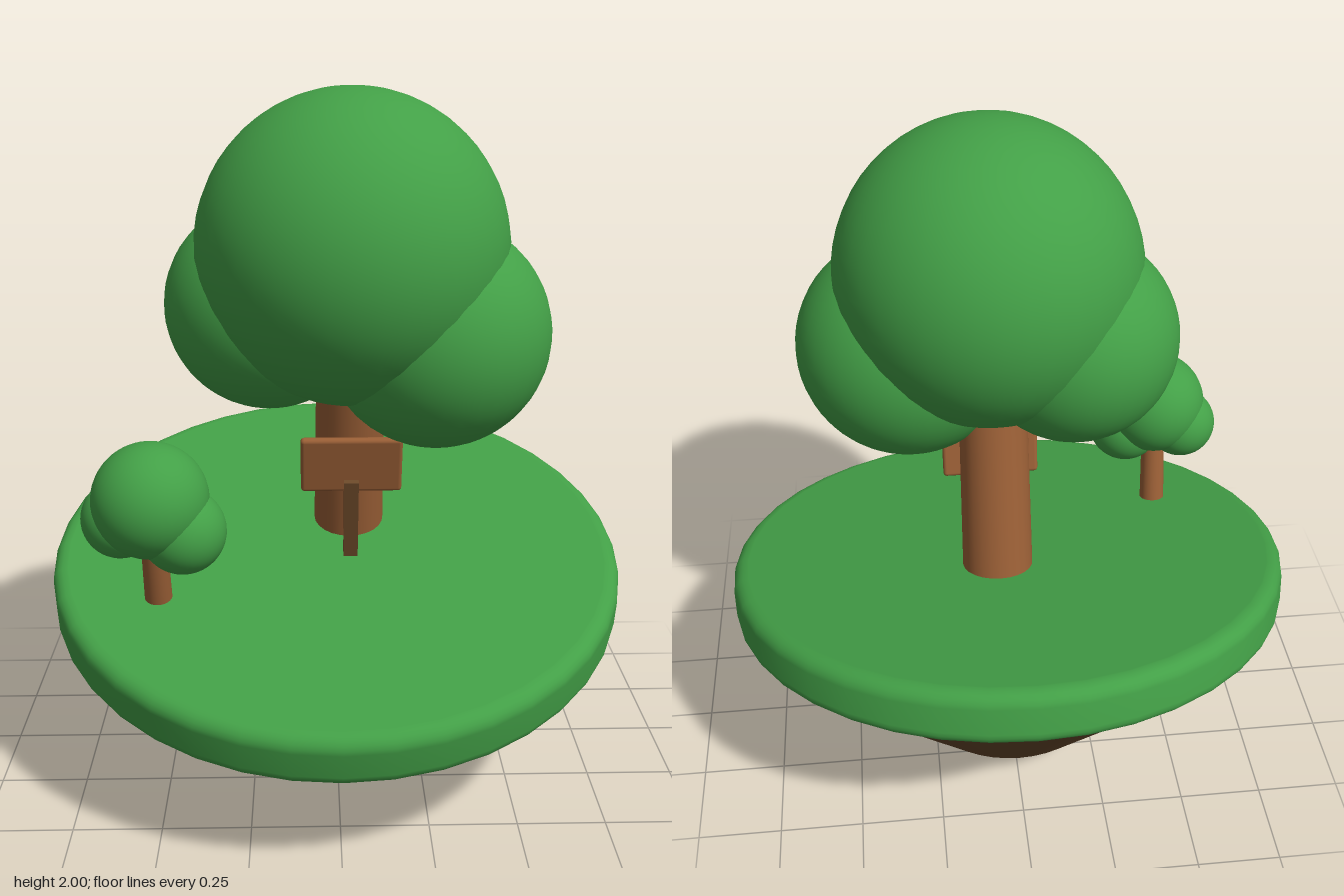
import * as THREE from 'three';
import { RoundedBoxGeometry } from 'three/addons/geometries/RoundedBoxGeometry.js';

const material = (name, color) => {
  const m = new THREE.MeshStandardMaterial({ color });
  m.name = name;
  return m;
};

export function createModel() {
  const green = material('leafGreen', 0x43a047);
  const bark = material('barkBrown', 0x9a5f36);
  const soil = material('soilBrown', 0x624529);
  const darkWood = material('darkWood', 0x6d4a2a);

  const add = (parent, name, geometry, mat, x = 0, y = 0, z = 0) => {
    const mesh = new THREE.Mesh(geometry, mat);
    mesh.name = name;
    mesh.position.set(x, y, z);
    parent.add(mesh);
    return mesh;
  };

  const model = new THREE.Group();
  model.name = 'floatingIsland';

  // The whole island is tipped towards the front
  const island = new THREE.Group();
  island.name = 'tiltedIsland';
  island.rotation.x = 0.24;
  island.position.set(0, 0.068, -0.135);
  model.add(island);

  // Soil: truncated cone under the grass
  add(island, 'soil', new THREE.CylinderGeometry(0.797, 0.272, 0.465, 40), soil, 0, 0.2325, 0);

  // Grass: disc with rounded rim, profile from bottom centre to top centre
  const bottom = 0.46, top = 0.62, radius = 0.842, round = 0.042;
  const profile = [[0, bottom], [radius - round - 0.004, bottom]];
  for (const [cy, start] of [[bottom + round, -Math.PI / 2], [top - round, 0]]) {
    for (let i = 0; i <= 5; i++) {
      const a = start + (i / 5) * Math.PI / 2;
      profile.push([radius - round + round * Math.cos(a), cy + round * Math.sin(a)]);
    }
  }
  profile.push([radius - round - 0.004, top], [0, top]);
  add(island, 'grass', new THREE.LatheGeometry(
    profile.map(([r, y]) => new THREE.Vector2(r, y)), 40), green);

  // Trees: one design at two sizes
  const makeTree = (name, x, z, scale) => {
    const tree = new THREE.Group();
    tree.name = name;
    tree.position.set(x, top, z);
    tree.scale.setScalar(scale);
    add(tree, 'trunk', new THREE.CylinderGeometry(0.095, 0.105, 0.8, 24), bark, 0, 0.4, 0);
    const crown = [
      ['mainFoliage', 0.43, 0, 0.9, 0.01],
      ['leftFoliage', 0.318, 0.232, 0.68, 0.088],
      ['rightFoliage', 0.295, -0.23, 0.713, -0.032],
    ];
    for (const [part, r, px, py, pz] of crown) {
      add(tree, part, new THREE.SphereGeometry(r, 40, 28), green, px, py, pz);
    }
    island.add(tree);
  };
  makeTree('largeTree', 0.04, -0.125, 1);
  makeTree('smallTree', -0.51, 0.26, 0.372);

  // Wooden sign: post in front of a rounded board
  const sign = new THREE.Group();
  sign.name = 'sign';
  sign.position.set(0.04, top, 0.06);
  island.add(sign);
  add(sign, 'signPost', new THREE.BoxGeometry(0.042, 0.27, 0.034), darkWood, 0, 0.125, 0.004);
  add(sign, 'signBoard', new RoundedBoxGeometry(0.29, 0.175, 0.026, 3, 0.011), bark, 0, 0.305, -0.01);

  return model;
}
